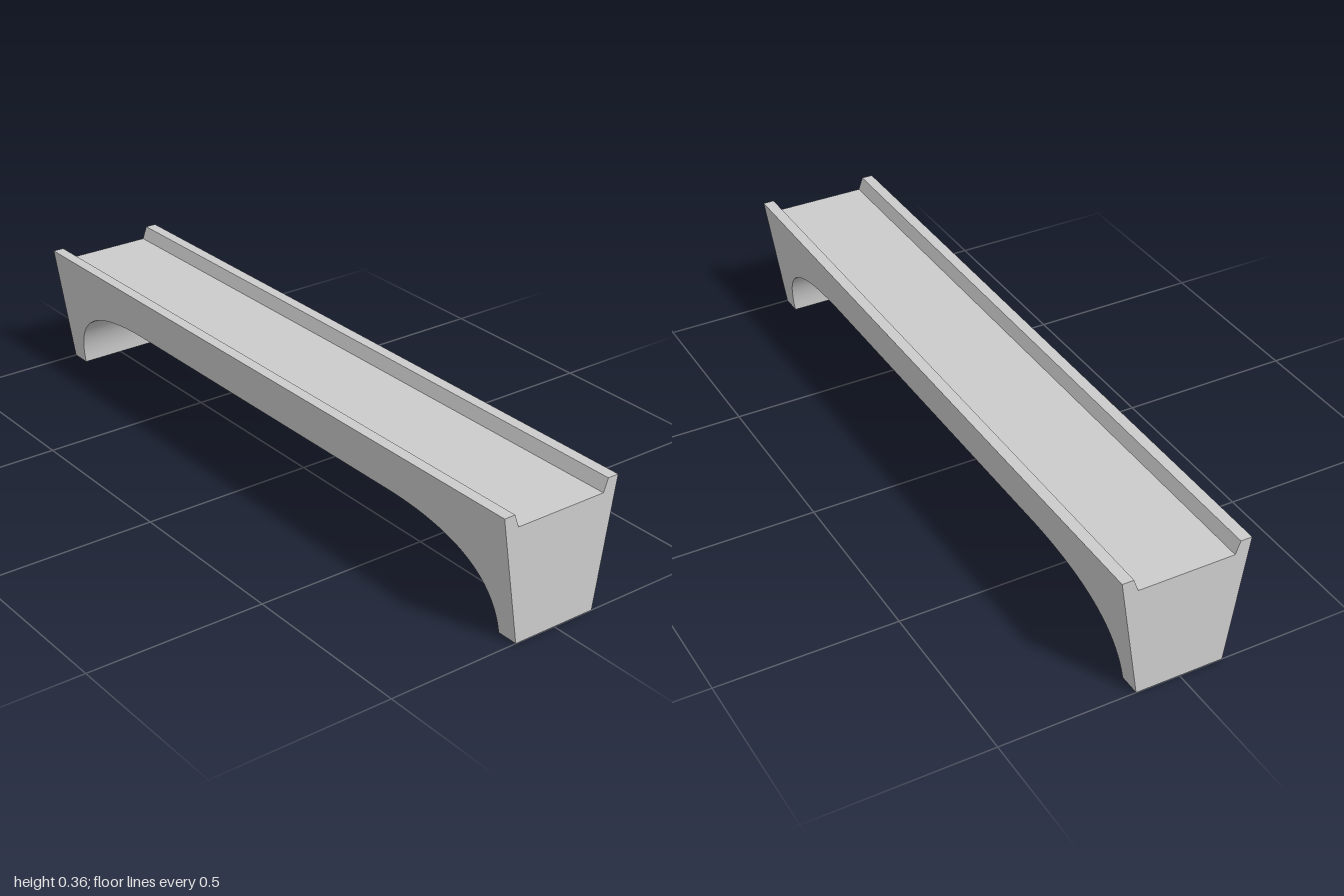
import * as THREE from 'three';
import { toCreasedNormals } from 'three/addons/utils/BufferGeometryUtils.js';

const TOP = 0.357, DECK = 0.321;
const halfWidth = (y) => 0.123 + (0.179 - 0.123) * (y / TOP);

// Counter-clockwise cross-section of the span whose underside is at height b
function section(b) {
  const right = [[halfWidth(b), b], [halfWidth(TOP), TOP], [0.147, TOP], [0.134, DECK]];
  const left = right.map(([x, y]) => [-x, y]).reverse();
  return [...right, ...left];
}

// Stations [z, underside height] from front to back: foot, arch curve, mirrored
function stations() {
  const arch = new THREE.CubicBezierCurve(
    new THREE.Vector2(0.94, 0), new THREE.Vector2(0.94, 0.17),
    new THREE.Vector2(0.79, 0.226), new THREE.Vector2(0.58, 0.232));
  const half = [[1, 0], ...arch.getPoints(20).map((p) => [p.x, p.y])];
  return [...half, ...half.map(([z, y]) => [-z, y]).reverse()];
}

export function createModel() {
  const rings = stations().map(([z, b]) => section(b).map(([x, y]) => [x, y, z]));
  const n = rings[0].length;
  const positions = [];
  const tri = (...points) => points.forEach((p) => positions.push(...p));

  // Skin between neighbouring cross-sections
  for (let i = 0; i < rings.length - 1; i++) {
    for (let j = 0; j < n; j++) {
      const k = (j + 1) % n;
      const a = rings[i][j], b = rings[i][k], c = rings[i + 1][k], d = rings[i + 1][j];
      tri(a, d, b);
      tri(b, d, c);
    }
  }

  // End faces
  const front = rings[0], back = rings[rings.length - 1];
  const outline = front.map(([x, y]) => new THREE.Vector2(x, y));
  for (const [a, b, c] of THREE.ShapeUtils.triangulateShape(outline, [])) {
    tri(front[a], front[b], front[c]);
    tri(back[a], back[c], back[b]);
  }

  const geometry = new THREE.BufferGeometry();
  geometry.setAttribute('position', new THREE.Float32BufferAttribute(positions, 3));

  const span = new THREE.Mesh(
    toCreasedNormals(geometry, Math.PI / 6),
    new THREE.MeshStandardMaterial({ color: 0xcccccc }));
  span.name = 'bridgeSpan';

  const group = new THREE.Group();
  group.name = 'bridge';
  group.add(span);
  return group;
}
